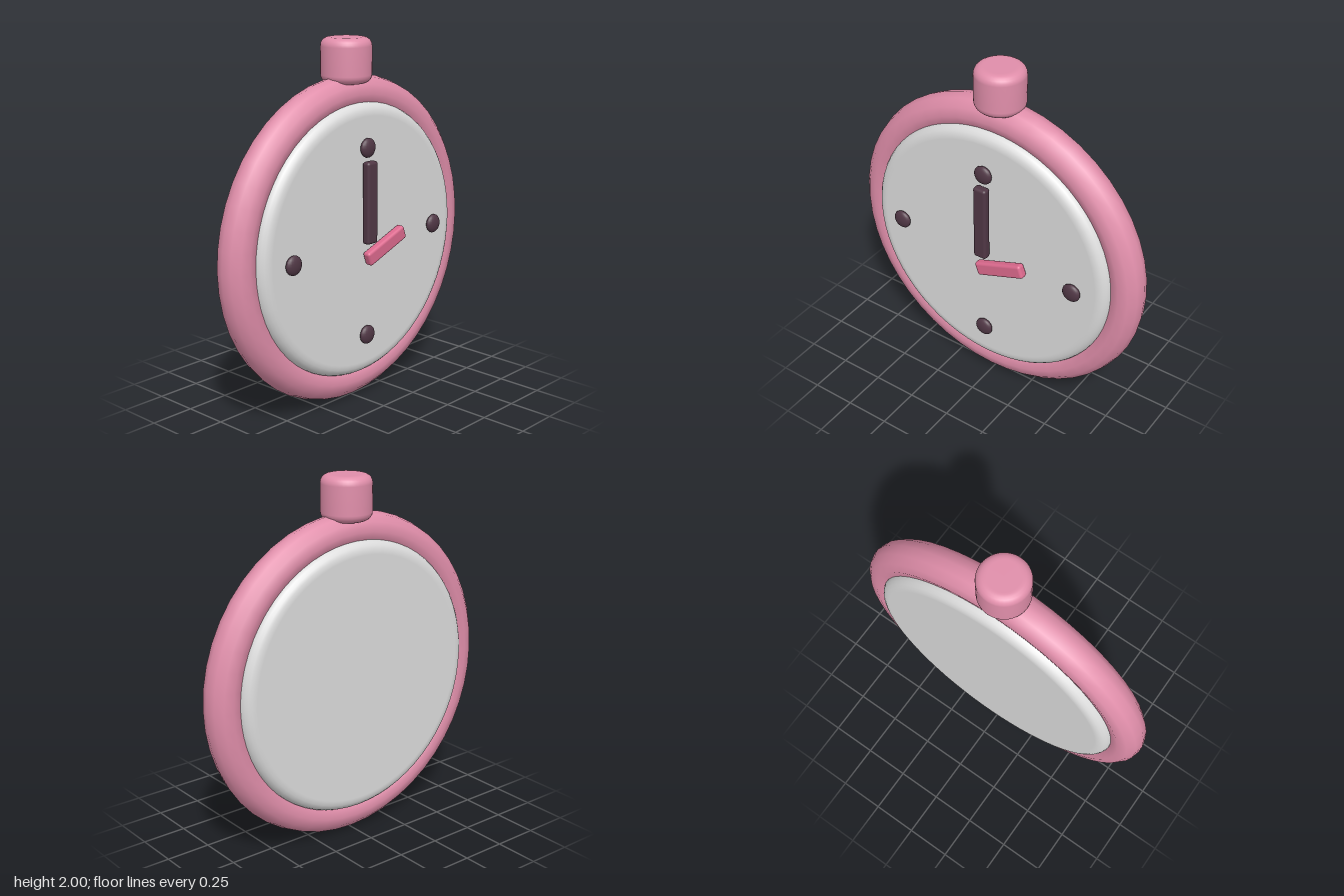
import * as THREE from 'three';
import { RoundedBoxGeometry } from 'three/addons/geometries/RoundedBoxGeometry.js';

const CENTER_Y = 0.905;
const CENTER_Z = -0.03;

function material(name, color) {
  const m = new THREE.MeshStandardMaterial({ color });
  m.name = name;
  return m;
}

// Solid disc around the y axis with rounded rims at both ends
function roundedDisc(radius, height, bevel, segments) {
  const h = height / 2, r = radius - bevel, steps = 5;
  const points = [new THREE.Vector2(0, -h), new THREE.Vector2(r - 0.01, -h)];
  for (const [y, start] of [[-h + bevel, -Math.PI / 2], [h - bevel, 0]]) {
    for (let i = 0; i <= steps; i++) {
      const a = start + (i / steps) * Math.PI / 2;
      points.push(new THREE.Vector2(r + Math.cos(a) * bevel, y + Math.sin(a) * bevel));
    }
  }
  points.push(new THREE.Vector2(r - 0.01, h), new THREE.Vector2(0, h));
  return new THREE.LatheGeometry(points, segments);
}

export function createModel() {
  const group = new THREE.Group();
  const pink = material('case pink', 0xe08eaa);
  const grey = material('dial grey', 0xdcdcdc);
  const dark = material('dark plum', 0x503745);
  const rose = material('hour hand rose', 0xdc6a8e);

  const add = (name, geometry, mat, x, y, z) => {
    const mesh = new THREE.Mesh(geometry, mat);
    mesh.name = name;
    mesh.position.set(x, y, z);
    group.add(mesh);
    return mesh;
  };

  // Case ring and the dial body that shows on both sides
  add('caseRing', new THREE.TorusGeometry(0.802, 0.1, 12, 48), pink, 0, 0.902, CENTER_Z);
  const dial = add('dial', roundedDisc(0.755, 0.272, 0.06, 64), grey, 0, CENTER_Y + 0.004, CENTER_Z);
  dial.rotation.x = Math.PI / 2;

  // Winding crown on top
  add('crown', roundedDisc(0.137, 0.24, 0.045, 40), pink, 0, 1.88, CENTER_Z);

  // Four flattened hour markers
  const markerGeometry = new THREE.SphereGeometry(0.053, 20, 12);
  markerGeometry.scale(1, 1, 0.47);
  for (const [x, y] of [[0, 1.43], [0.557, 0.908], [0, 0.387], [-0.557, 0.908]]) {
    add('hourMarker', markerGeometry, dark, x, y, 0.126);
  }

  // Hands
  add('minuteHand', new RoundedBoxGeometry(0.08, 0.45, 0.05, 3, 0.016), dark, 0, 1.135, 0.143);
  const hourHand = add('hourHand', new RoundedBoxGeometry(0.31, 0.08, 0.05, 3, 0.016), rose, 0.122, 0.875, 0.143);
  hourHand.rotation.z = THREE.MathUtils.degToRad(20);

  return group;
}
